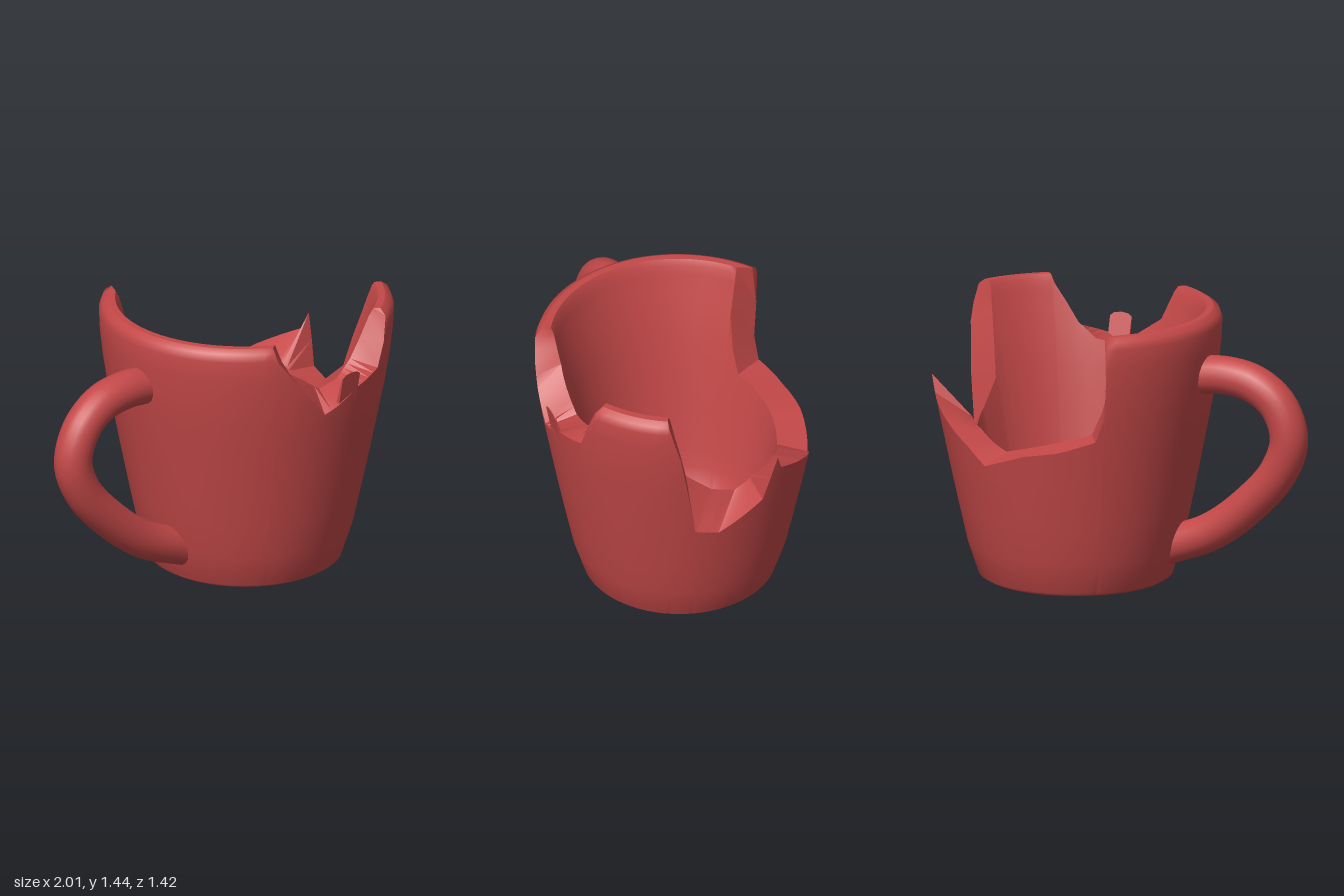
import * as THREE from 'three';
import { toCreasedNormals } from 'three/addons/utils/BufferGeometryUtils.js';

// Cup centre and wall heights
const CX = 0.3, CZ = -0.036, SPLIT = 0.6, TOP = 1.44;

// Wall profiles as [radius, height], from the middle of the base to the rim
const OUTER = [[0, 0], [0.4, 0], [0.47, 0.01], [0.502, 0.03], [0.556, 0.2], [0.598, 0.4], [0.638, 0.6],
  [0.676, 0.8], [0.713, 1.0], [0.735, 1.15], [0.748, 1.28], [0.752, 1.38], [0.737, 1.42], [0.705, 1.44]];
const INNER = [[0, 0.13], [0.15, 0.131], [0.26, 0.138], [0.34, 0.16], [0.385, 0.21], [0.412, 0.3], [0.435, 0.4],
  [0.472, 0.6], [0.508, 0.8], [0.547, 1.0], [0.582, 1.15], [0.613, 1.26], [0.64, 1.36], [0.653, 1.41], [0.67, 1.44]];

// Broken edge: [outer angle, outer height, inner angle, inner height]
const BREAK = [
  // back gap
  [-125, 1.44, -131, 1.44], [-124.8, 1.2, -130.8, 1.18], [-124.5, 1.0, -127, 1.0], [-121, 0.88, -122, 0.88],
  [-105, 0.82, -105, 0.84], [-90, 0.79, -88, 0.8], [-68, 0.7, -68, 0.75], [-58, 0.79, -58, 0.78],
  [-43, 0.88, -45, 0.83], [-24, 0.98, -26, 0.85],
  // pointed shard and side gap
  [-21, 1.07, -23, 0.84], [-16, 0.8, -20, 0.81], [5, 0.65, -11, 0.78], [15, 0.675, 5, 0.84],
  [16, 0.68, 20, 0.96], [23, 1.22, 26, 1.28], [27.5, 1.41, 28, 1.42], [28.5, 1.44, 28.5, 1.44],
  // front gap
  [57.5, 1.44, 58, 1.44], [59.5, 1.41, 59, 1.4], [67, 1.16, 70, 1.2], [81.5, 1.12, 79, 1.12],
  [92, 1.05, 92, 1.1], [98.5, 1.02, 99, 1.15], [107.6, 1.16, 114, 1.26], [120, 1.37, 119, 1.41],
  [121.5, 1.44, 120, 1.44],
  // whole rim on the handle side, back to the start
  [235, 1.44, 229, 1.44],
];

// Subdivide the break into evenly spaced columns
function makeColumns() {
  const columns = [];
  for (let i = 0; i < BREAK.length - 1; i++) {
    const a = BREAK[i], b = BREAK[i + 1];
    const n = Math.max(1, Math.ceil((b[0] - a[0]) / 4));
    for (let k = 0; k < n; k++) columns.push(a.map((v, j) => v + (b[j] - v) * k / n));
  }
  return columns;
}

function radiusAt(profile, y) {
  for (let i = 2; i < profile.length; i++) {
    const [r0, y0] = profile[i - 1], [r1, y1] = profile[i];
    if (y <= y1) return r0 + (r1 - r0) * (y - y0) / (y1 - y0);
  }
  return profile[profile.length - 1][0];
}

// Round at the base, slightly wider sideways towards the rim
function polar(degrees, r, y) {
  const a = degrees * Math.PI / 180;
  return [CX + 0.008 * y + (1 + 0.018 * y) * r * Math.cos(a), y, CZ + r * Math.sin(a)];
}

// Closed ring of columns, each an array of points running along the profile
function ringGeometry(columns, flip) {
  const rows = columns[0].length, index = [];
  columns.forEach((_, c) => {
    const d = (c + 1) % columns.length;
    for (let r = 0; r < rows - 1; r++) {
      const p = c * rows + r, q = d * rows + r;
      if (flip) index.push(p, q, p + 1, q, q + 1, p + 1);
      else index.push(p, p + 1, q, q, p + 1, q + 1);
    }
  });
  const geometry = new THREE.BufferGeometry();
  geometry.setAttribute('position', new THREE.Float32BufferAttribute(columns.flat(2), 3));
  geometry.setIndex(index);
  geometry.computeVertexNormals();
  return geometry;
}

// One side of the wall; rows above SPLIT are squeezed under the broken edge
function wallColumn(profile, angle, height) {
  return profile.map(([r, y]) => {
    if (y <= SPLIT) return polar(angle, r, y);
    const h = SPLIT + (height - SPLIT) * (y - SPLIT) / (TOP - SPLIT);
    return polar(angle, radiusAt(profile, h), h);
  });
}

// Round-topped strip that leans outwards and thins towards its tip
function sliverGeometry() {
  const outline = new THREE.Shape([[0.295, 1.0], [0.415, 1.0], [0.415, 1.205], [0.395, 1.22],
    [0.355, 1.226], [0.315, 1.22], [0.295, 1.205]].map(([x, y]) => new THREE.Vector2(x, y)));
  const geometry = new THREE.ExtrudeGeometry(outline, { depth: 1, bevelEnabled: false });
  const position = geometry.attributes.position;
  for (let i = 0; i < position.count; i++) {
    const t = (position.getY(i) - 1.0) / 0.226;
    const front = 0.668 + 0.045 * t, thickness = 0.025 * (1 - t) + 0.004;
    position.setZ(i, front - thickness * (1 - position.getZ(i)));
  }
  geometry.computeVertexNormals();
  return geometry;
}

export function createModel() {
  const group = new THREE.Group();
  group.name = 'brokenMug';
  const material = new THREE.MeshStandardMaterial({ color: 0xc44848 });
  const add = (name, geometry) => {
    const mesh = new THREE.Mesh(geometry, material);
    mesh.name = name;
    group.add(mesh);
  };

  // Cup walls and the fractured face joining them
  const columns = makeColumns();
  add('outerWall', ringGeometry(columns.map(([a, h]) => wallColumn(OUTER, a, h)), false));
  add('innerWall', ringGeometry(columns.map(([, , a, h]) => wallColumn(INNER, a, h)), true));
  const fracture = ringGeometry(columns.map(([a, h, b, k]) => [
    polar(a, radiusAt(OUTER, h), h), polar(b, radiusAt(INNER, k), k),
  ]), false);
  add('brokenEdge', toCreasedNormals(fracture, 0.45));

  // Thin sliver left standing in the front gap
  add('sliver', sliverGeometry());

  // Handle
  const path = new THREE.CatmullRomCurve3([
    [-0.36, 1.14, -0.045], [-0.55, 1.152, -0.05], [-0.71, 1.12, -0.055], [-0.84, 1.02, -0.055],
    [-0.9, 0.85, -0.055], [-0.84, 0.67, -0.045], [-0.67, 0.475, -0.025], [-0.45, 0.305, -0.005], [-0.17, 0.19, 0.01],
  ].map((p) => new THREE.Vector3(...p)));
  add('handle', new THREE.TubeGeometry(path, 48, 0.1, 20));

  return group;
}
